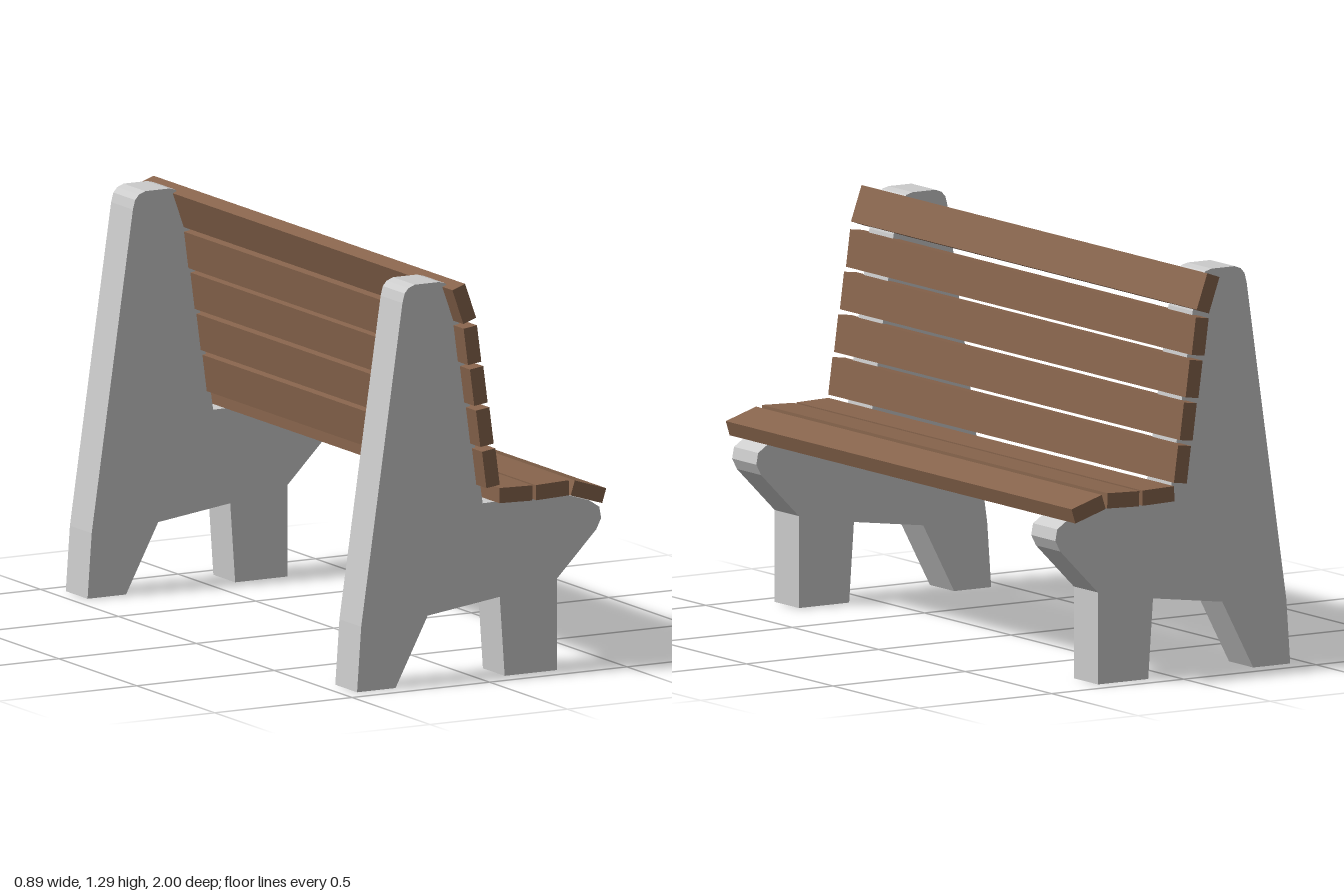
import * as THREE from 'three';

const LENGTH = 2, SLAT_W = 0.12, SLAT_T = 0.049;
const SUPPORT_T = 0.14, SUPPORT_Z = 0.865;

// Side profile of one support: rear foot, front foot, seat nose, backrest
const PROFILE = [
  [-0.445, 0], [-0.305, 0], [-0.188, 0.222], [0.074, 0.257], [0.092, 0], [0.282, 0],
  [0.282, 0.295], [0.425, 0.44], [0.443, 0.475], [0.436, 0.512], [0.4, 0.536],
  [0.295, 0.569], [0.012, 0.565], [-0.076, 1.165], [-0.115, 1.277], [-0.125, 1.289],
  [-0.148, 1.295], [-0.235, 1.295], [-0.258, 1.286], [-0.272, 1.27], [-0.28, 1.24],
  [-0.43, 0.21],
];

// Slats: [x, y, tilt of the wide side in degrees]
const BACK_SLATS = [
  [0.005, 0.69, 97.6], [-0.017, 0.825, 97.6], [-0.039, 0.96, 97.6],
  [-0.062, 1.094, 97.6], [-0.092, 1.23, 109.5],
];
const SEAT_SLATS = [[0.096, 0.597, -1.5], [0.229, 0.597, 2], [0.36, 0.579, -17.5]];

export function createModel() {
  const bench = new THREE.Group();
  bench.name = 'bench';
  const stone = new THREE.MeshStandardMaterial({ color: 0xcccccc, flatShading: true });
  const wood = new THREE.MeshStandardMaterial({ color: 0x87644c, flatShading: true });

  // Two matching end supports
  const shape = new THREE.Shape(PROFILE.map(([x, y]) => new THREE.Vector2(x, y)));
  const supportGeo = new THREE.ExtrudeGeometry(shape, { depth: SUPPORT_T, bevelEnabled: false });
  supportGeo.translate(0, 0, -SUPPORT_T / 2);
  for (const side of [-1, 1]) {
    const support = new THREE.Mesh(supportGeo, stone);
    support.name = side < 0 ? 'rearSupport' : 'frontSupport';
    support.position.z = side * SUPPORT_Z;
    bench.add(support);
  }

  // Long planks along z
  const slatGeo = new THREE.BoxGeometry(SLAT_W, SLAT_T, LENGTH);
  const addSlats = (name, slats) => {
    const group = new THREE.Group();
    group.name = name;
    slats.forEach(([x, y, tilt], i) => {
      const slat = new THREE.Mesh(slatGeo, wood);
      slat.name = `${name}Slat${i + 1}`;
      slat.position.set(x, y, 0);
      slat.rotation.z = THREE.MathUtils.degToRad(tilt);
      group.add(slat);
    });
    bench.add(group);
  };
  addSlats('backrest', BACK_SLATS);
  addSlats('seat', SEAT_SLATS);
  return bench;
}
